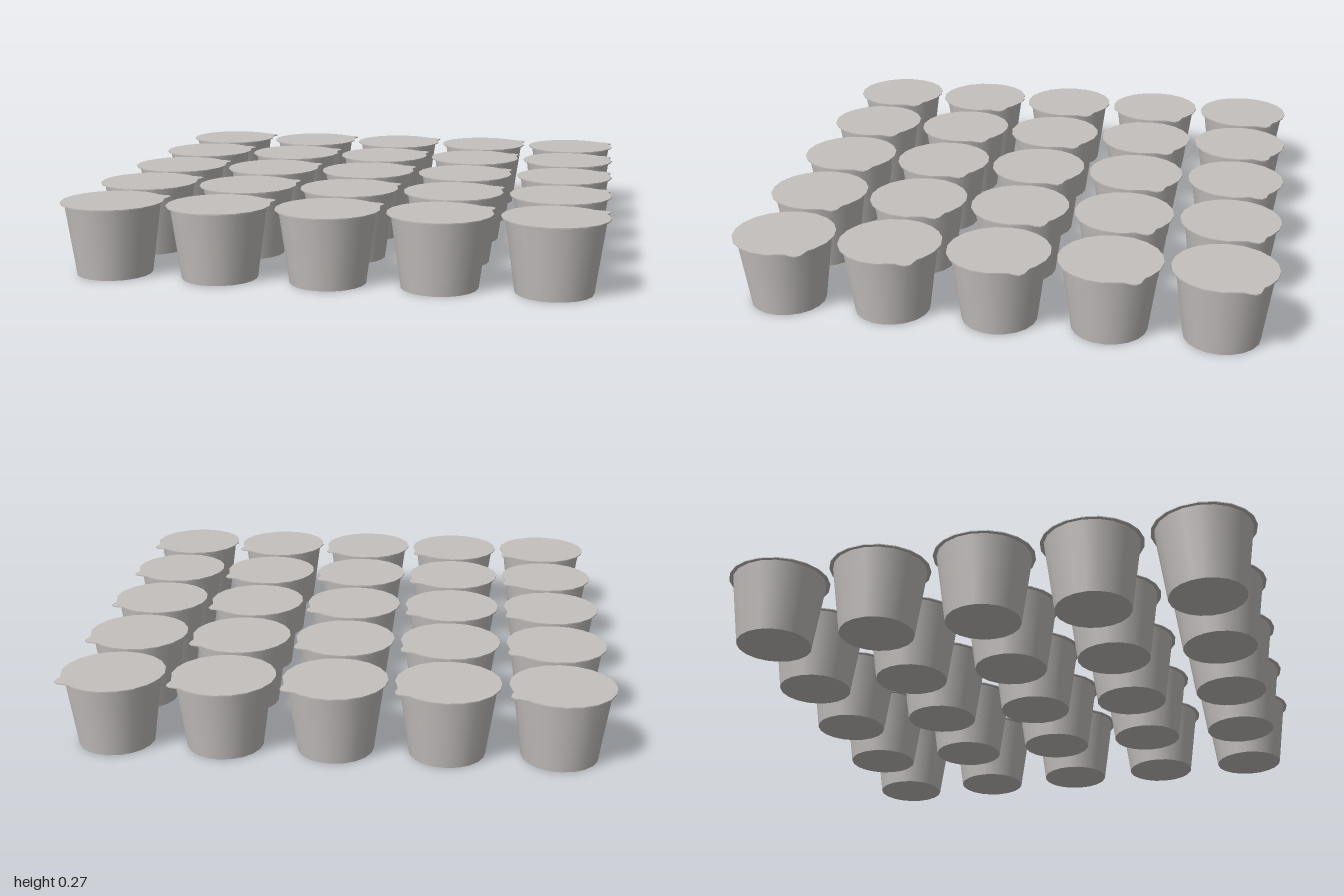
import * as THREE from 'three';

const COUNT = 5, PITCH = 0.4035;
const HEIGHT = 0.27, LID = 0.004, LID_R = 0.19, SIDES = 20;

// Round lid outline with a small pull tab replacing the corner at 36 degrees
function lidShape() {
  const tab = [[0.181, 0.043], [0.176, 0.07], [0.184, 0.095], [0.185, 0.113],
    [0.172, 0.127], [0.148, 0.132], [0.128, 0.138]];
  const points = [];
  for (let i = 0; i < SIDES; i++) {
    if (i === 1) tab.forEach(([x, y]) => points.push(new THREE.Vector2(x, y)));
    if (i === 1 || i === 2) continue;
    const a = (i / SIDES) * Math.PI * 2;
    points.push(new THREE.Vector2(Math.cos(a) * LID_R, Math.sin(a) * LID_R));
  }
  return new THREE.Shape(points);
}

export function createModel() {
  const model = new THREE.Group();
  model.name = 'cupTray';
  const plastic = new THREE.MeshStandardMaterial({ color: 0xc4c0be });
  plastic.name = 'warmGrey';

  // Tapered cup with smooth walls and a flat base
  const bodyHeight = HEIGHT - LID;
  const bodyGeometry = new THREE.CylinderGeometry(0.176, 0.139, bodyHeight, SIDES);
  bodyGeometry.translate(0, bodyHeight / 2, 0);

  // Thin foil lid laid flat, tab pointing to the back left corner
  const lidGeometry = new THREE.ExtrudeGeometry(lidShape(), { depth: LID, bevelEnabled: false });
  lidGeometry.rotateX(-Math.PI / 2);
  lidGeometry.translate(0, bodyHeight, 0);

  // Grid of identical cups
  for (let row = 0; row < COUNT; row++) {
    for (let col = 0; col < COUNT; col++) {
      const cup = new THREE.Group();
      cup.name = `cup${row * COUNT + col + 1}`;
      const body = new THREE.Mesh(bodyGeometry, plastic);
      body.name = 'cupBody';
      const lid = new THREE.Mesh(lidGeometry, plastic);
      lid.name = 'lid';
      cup.add(body, lid);
      cup.position.set((col - 2) * PITCH - 0.001, 0, (row - 2) * PITCH - 0.002);
      model.add(cup);
    }
  }
  return model;
}
